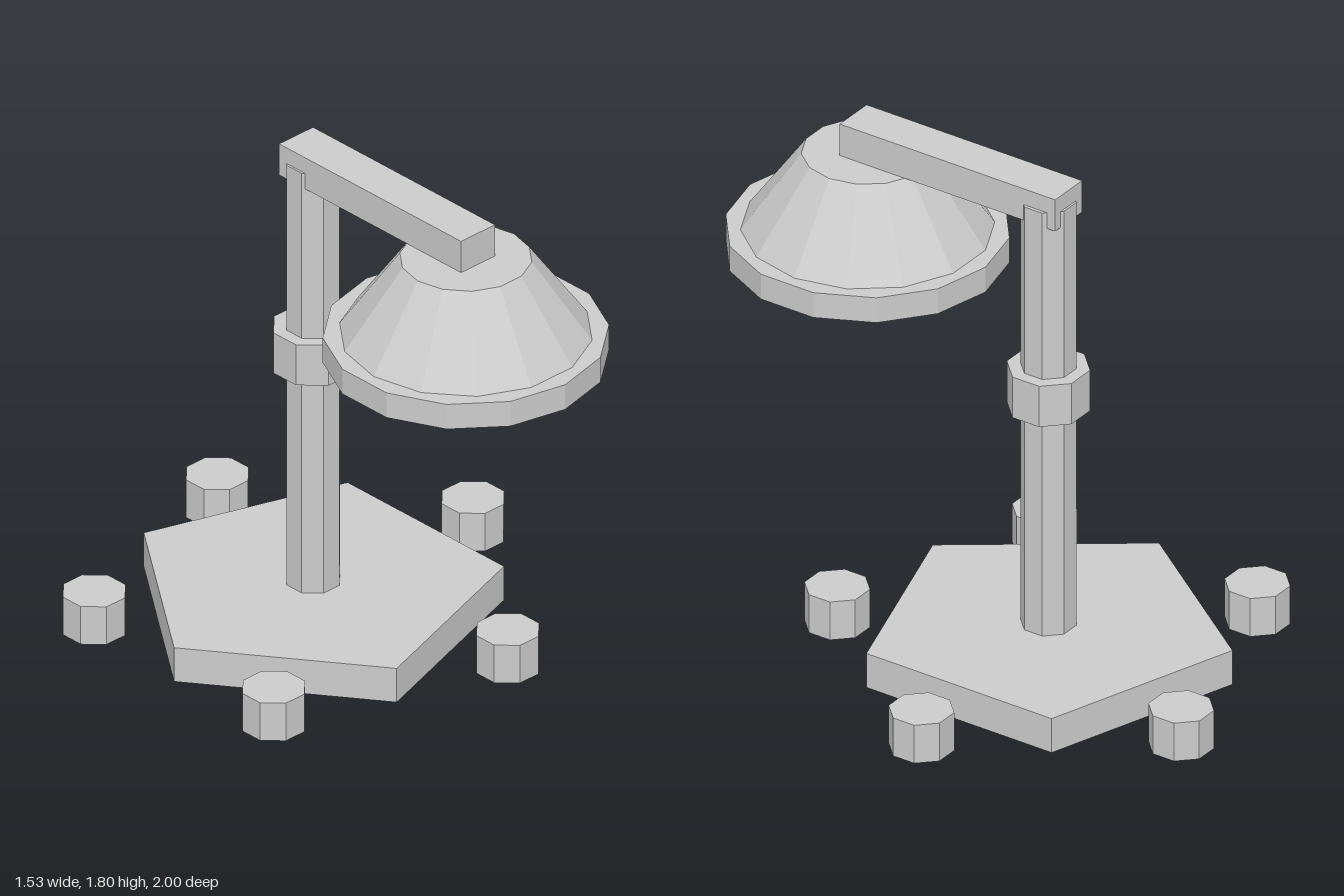
import * as THREE from 'three';

const grey = new THREE.MeshStandardMaterial({ color: 0xcccccc, flatShading: true });
grey.name = 'light grey';

// Post axis, shared by base, feet and collar
const CX = -0.07, CZ = -0.205;

export function createModel() {
  const group = new THREE.Group();

  // Upright prism between heights y0 and y1, first corner at angle start
  function prism(name, rTop, rBottom, sides, start, y0, y1, x = CX, z = CZ) {
    const geo = new THREE.CylinderGeometry(rTop, rBottom, y1 - y0, sides, 1, false, start);
    const mesh = new THREE.Mesh(geo, grey);
    mesh.name = name;
    mesh.position.set(x, (y0 + y1) / 2, z);
    group.add(mesh);
  }

  // Pentagonal base, pointing to -x
  prism('base', 0.636, 0.636, 5, -Math.PI / 2, 0, 0.13);

  // Five loose feet around the base, opposite its sides
  for (let i = 0; i < 5; i++) {
    const a = (i / 5) * Math.PI * 2;
    prism('foot' + (i + 1), 0.111, 0.111, 8, Math.PI / 8, 0, 0.145,
      CX + 0.73 * Math.cos(a), CZ + 0.73 * Math.sin(a));
  }

  // Post and its collar
  prism('post', 0.0945, 0.0945, 8, Math.PI / 8, 0.1, 1.745);
  prism('collar', 0.141, 0.141, 8, Math.PI / 8, 0.955, 1.11);

  // Horizontal arm reaching forward
  const arm = new THREE.Mesh(new THREE.BoxGeometry(0.155, 0.12, 0.87), grey);
  arm.name = 'arm';
  arm.position.set(-0.072, 1.745, 0.15);
  group.add(arm);

  // Lamp shade with a closed rim, turned half a side from each other
  prism('shade', 0.22, 0.421, 14, Math.PI / 2, 1.4, 1.685, CX, 0.525);
  prism('shadeRim', 0.475, 0.475, 14, 0, 1.305, 1.4, CX, 0.525);

  return group;
}
